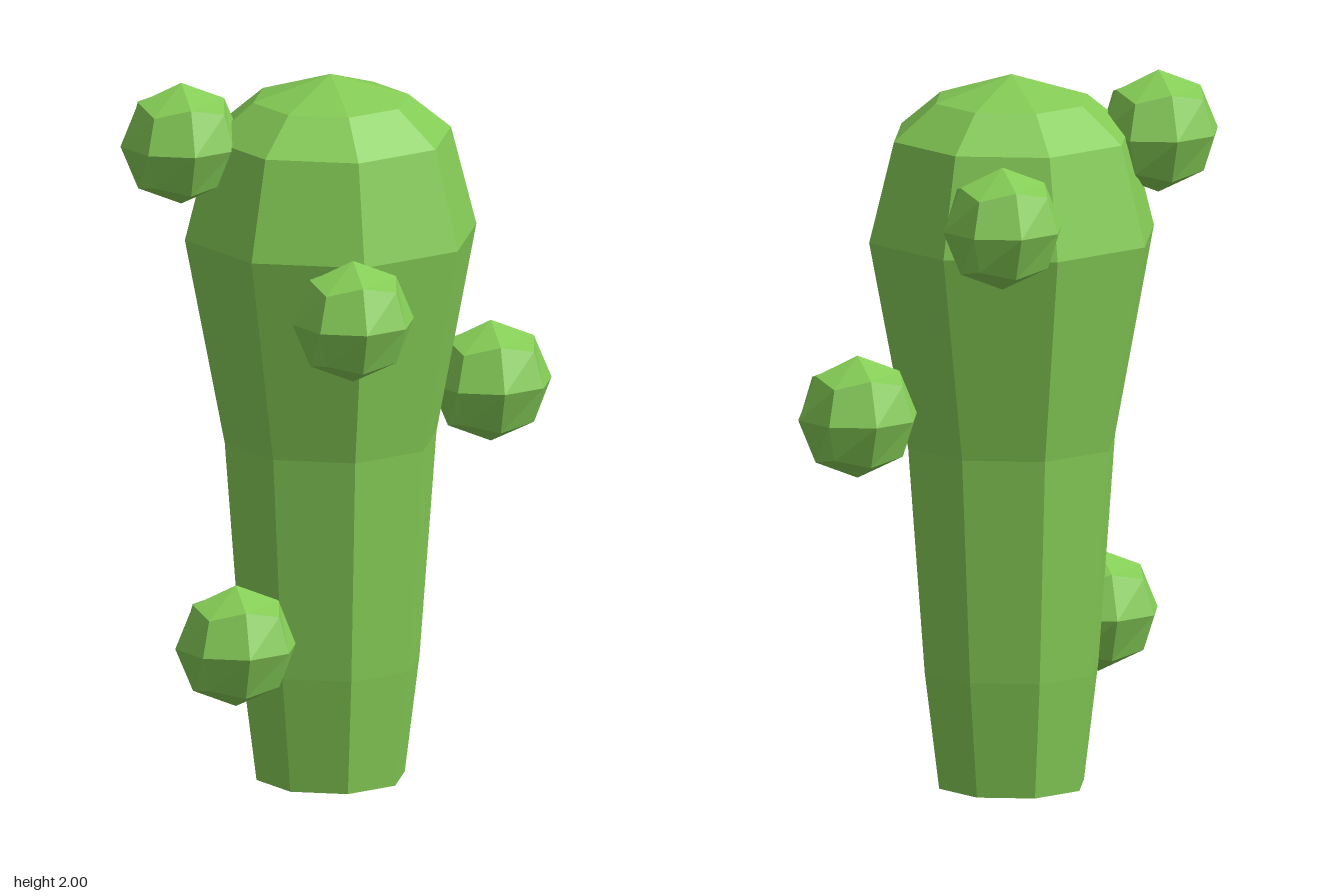
import * as THREE from 'three';

const leafGreen = new THREE.MeshStandardMaterial({ color: 0x84cb55 });
leafGreen.name = 'leafGreen';

// Split shared corners so every face is flat
function faceted(geometry) {
  const flat = geometry.index ? geometry.toNonIndexed() : geometry;
  flat.computeVertexNormals();
  return flat;
}

// Cube with 2 x 2 faces per side, pushed out onto a sphere
function budGeometry(radius) {
  const geometry = new THREE.BoxGeometry(1, 1, 1, 2, 2, 2);
  const pos = geometry.attributes.position;
  const v = new THREE.Vector3();
  for (let i = 0; i < pos.count; i++) {
    v.fromBufferAttribute(pos, i).setLength(radius);
    pos.setXYZ(i, v.x, v.y, v.z);
  }
  return faceted(geometry);
}

export function createModel() {
  const model = new THREE.Group();
  model.name = 'cactus';

  // Eight-sided trunk, widening towards a domed crown
  const profile = [
    [0, 0], [0.21, 0], [0.252, 0.33], [0.3, 0.965], [0.413, 1.55],
    [0.341, 1.83], [0.22, 1.93], [0, 2],
  ].map(([r, y]) => new THREE.Vector2(r, y));
  const trunk = new THREE.Mesh(faceted(new THREE.LatheGeometry(profile, 8)), leafGreen);
  trunk.name = 'trunk';
  trunk.position.x = -0.03;
  model.add(trunk);

  // Round buds around the trunk
  const budShape = budGeometry(0.172);
  const buds = {
    frontBud: [-0.073, 1.413, 0.459],
    leftBud: [0.442, 1.08, -0.078],
    upperRightBud: [-0.447, 1.82, -0.028],
    lowerRightBud: [-0.341, 0.435, 0.184],
    backBud: [0.146, 1.666, -0.462],
  };
  for (const [name, position] of Object.entries(buds)) {
    const bud = new THREE.Mesh(budShape, leafGreen);
    bud.name = name;
    bud.position.set(...position);
    model.add(bud);
  }
  return model;
}
